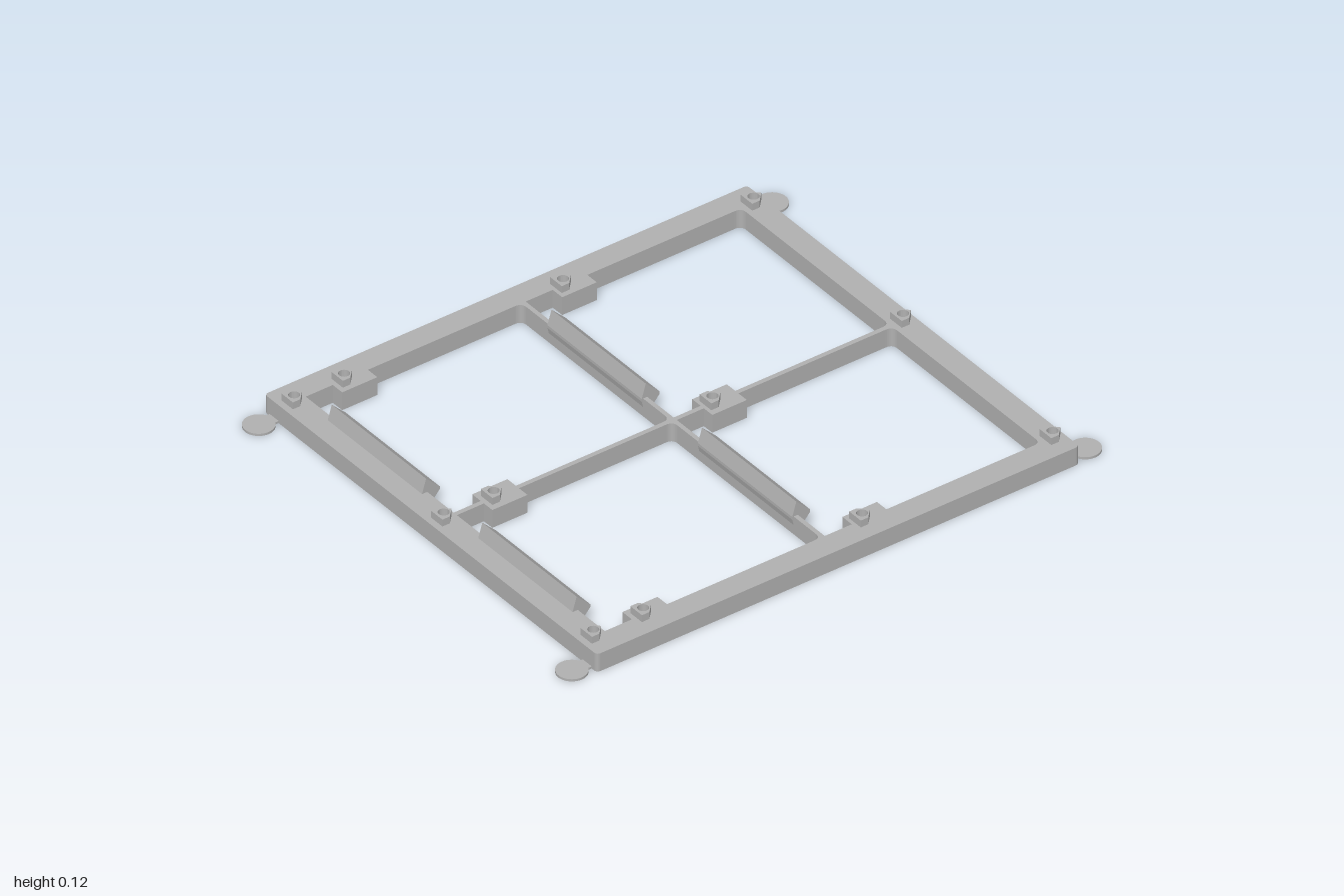
import * as THREE from 'three';

const grey = new THREE.MeshStandardMaterial({ color: 0xb0b0b0 });
grey.name = 'grey plastic';

const TOP = 0.065, SOCKET = 0.027;
const PEG_X = [-0.745, 0, 0.745];
const PEG_Z = [-0.855, -0.15, 0.66, 0.845];

const mesh = (geometry, name) => {
  const m = new THREE.Mesh(geometry, grey);
  m.name = name;
  return m;
};

// Extrude a plan outline (drawn with y = -z) upward from height y0 to y1
function slab(shape, y0, y1) {
  const g = new THREE.ExtrudeGeometry(shape, { depth: y1 - y0, bevelEnabled: false, curveSegments: 10 });
  g.rotateX(-Math.PI / 2);
  g.translate(0, y0, 0);
  return g;
}

// House-shaped outline pointing to the back
function house(path, x, z, s) {
  path.moveTo(x - s, -z - s * 0.9);
  path.lineTo(x + s, -z - s * 0.9);
  path.lineTo(x + s, -z + s * 0.05);
  path.lineTo(x, -z + s);
  path.lineTo(x - s, -z + s * 0.05);
  path.closePath();
  return path;
}

const boltHole = (x, z) => new THREE.Path().absarc(x, -z, 0.018, 0, Math.PI * 2, true);

// Window opening with rounded back corners and notches around the pads
function opening(side, z0, z1, p0, p1) {
  const p = new THREE.Path(), r = 0.025, a = 0.008, b = 0.745;
  const to = (x, z) => p.lineTo(side * x, -z);
  p.moveTo(side * (a + r), -z0);
  to(b - r, z0);
  p.quadraticCurveTo(side * b, -z0, side * b, -(z0 + r));
  to(b, p0); to(0.698, p0); to(0.698, p1); to(b, p1);
  to(b, z1); to(a, z1);
  to(a, p1); to(0.05, p1); to(0.05, p0); to(a, p0);
  to(a, z0 + r);
  p.quadraticCurveTo(side * a, -z0, side * (a + r), -z0);
  return p;
}

// Frame plan: rounded outer rectangle with four openings
function framePlan(makeHole) {
  const s = new THREE.Shape(), x = 0.828, z = 0.893, r = 0.015;
  s.moveTo(-x + r, -z);
  s.lineTo(x - r, -z);
  s.quadraticCurveTo(x, -z, x, -z + r);
  s.lineTo(x, z - r);
  s.quadraticCurveTo(x, z, x - r, z);
  s.lineTo(-x + r, z);
  s.quadraticCurveTo(-x, z, -x, z - r);
  s.lineTo(-x, -z + r);
  s.quadraticCurveTo(-x, -z, -x + r, -z);
  for (const side of [-1, 1]) {
    s.holes.push(opening(side, -0.81, -0.012, -0.24, -0.112));
    s.holes.push(opening(side, 0.003, 0.802, 0.572, 0.702));
  }
  for (const px of PEG_X) for (const pz of PEG_Z) s.holes.push(makeHole(px, pz));
  return s;
}

// Ridge: steep front, sloping back, tapered support underneath
function ridgeGeometry() {
  const profile = new THREE.Shape([
    [0.008, TOP - 0.01], [0.008, TOP], [-0.007, 0.115], [-0.058, TOP],
    [-0.058, 0.056], [-0.012, 0.004], [-0.004, 0.004],
  ].map(([z, y]) => new THREE.Vector2(-z, y)));
  const g = new THREE.ExtrudeGeometry(profile, { depth: 0.47, bevelEnabled: false });
  g.rotateY(Math.PI / 2);
  g.translate(-0.235, 0, 0);
  return g;
}

export function createModel() {
  const model = new THREE.Group();
  model.name = 'gridFrame';

  // Frame in two layers: keyed sockets below, round bolt holes above
  model.add(mesh(slab(framePlan((x, z) => house(new THREE.Path(), x, z, 0.03)), 0, SOCKET), 'lowerFrame'));
  model.add(mesh(slab(framePlan(boltHole), SOCKET, TOP), 'upperFrame'));

  // Keyed pegs with through holes
  for (const x of PEG_X) for (const z of PEG_Z) {
    const s = house(new THREE.Shape(), x, z, 0.029);
    s.holes.push(boltHole(x, z));
    model.add(mesh(slab(s, TOP, 0.09), 'peg'));
  }

  // Ridges on the front and middle bars
  const ridge = ridgeGeometry();
  for (const x of [-0.375, 0.375]) for (const z of [0, 0.813]) {
    const m = mesh(ridge, 'ridge');
    m.position.set(x, 0, z);
    model.add(m);
  }

  // Thin round feet joined to the corners by short necks
  const disc = new THREE.CylinderGeometry(0.05, 0.05, 0.008, 40);
  const neck = new THREE.BoxGeometry(0.045, 0.0078, 0.04);
  for (const x of [-1, 1]) for (const z of [-1, 1]) {
    const foot = mesh(disc, 'cornerFoot');
    foot.position.set(x * 0.78, 0.004, z * 0.95);
    const link = mesh(neck, 'footNeck');
    link.position.set(x * 0.78, 0.004, z * 0.898);
    model.add(foot, link);
  }
  return model;
}
